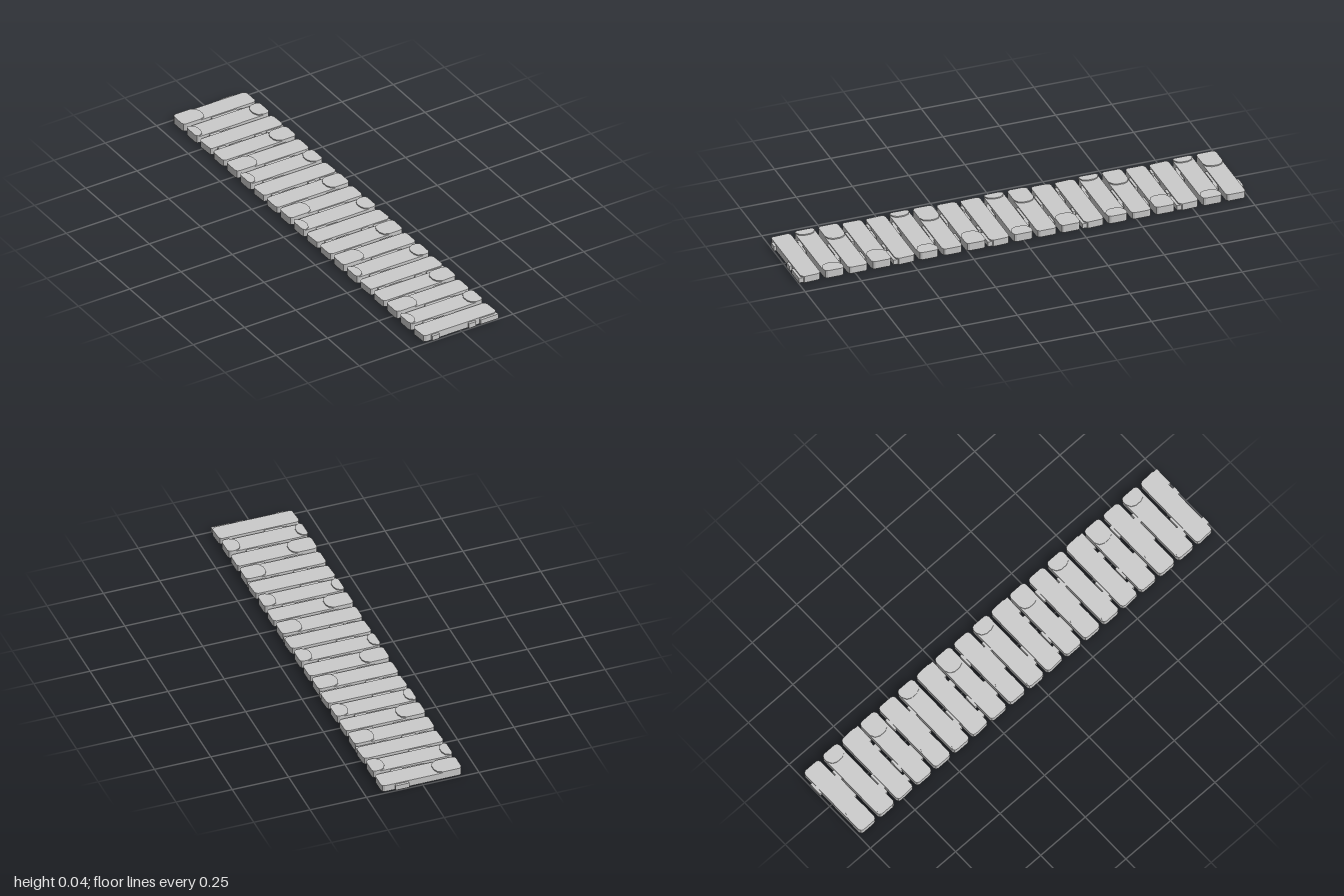
import * as THREE from 'three';

const COUNT = 19, PITCH = 0.105, HALF_W = 0.18, HALF_D = 0.044, HEIGHT = 0.03;

// Four plank designs repeat along the walkway.
// caps: [x0, x1] raised end plates; chips: [x0, x1, side] low blocks on the long edges (+1 front, -1 back)
const DESIGNS = [
  { caps: [], chips: [[-0.143, -0.108, 1], [0.036, 0.07, 1], [0.093, 0.178, 1], [-0.1, -0.02, -1]], flare: 0.003 },
  { caps: [[-0.18, -0.14], [0.115, 0.178]], chips: [[-0.12, -0.07, 1], [0.05, 0.1, -1]], flare: 0 },
  { caps: [[-0.18, -0.065]], chips: [[-0.045, 0.08, 1], [0.06, 0.12, -1]], flare: 0 },
  { caps: [[0.08, 0.178]], chips: [[-0.11, -0.03, 1], [-0.09, -0.03, -1]], flare: 0 },
];

const material = new THREE.MeshStandardMaterial({ color: 0xcccccc, flatShading: true });

// Flat slab with cut corners, lying on y0; z runs towards the front
function slab(x0, x1, halfDepth, y0, height, cutLeft, cutRight, flare = 0) {
  const d = halfDepth, a = cutLeft, b = cutRight;
  const outline = [
    [x0 + a, -d], [x1 - b, -d], [x1 - b * 0.3, -d + b * 0.35], [x1, -d + b],
    [x1 + flare, d - b], [x1 - b * 0.3, d - b * 0.35], [x1 - b, d],
    [x0 + a, d], [x0 + a * 0.3, d - a * 0.35], [x0 + flare, d - a],
    [x0, -d + a], [x0 + a * 0.3, -d + a * 0.35],
  ].map(([x, z]) => new THREE.Vector2(x, -z));
  const geometry = new THREE.ExtrudeGeometry(new THREE.Shape(outline), { depth: height, bevelEnabled: false });
  geometry.rotateX(-Math.PI / 2);
  geometry.translate(0, y0, 0);
  return geometry;
}

function addMesh(parent, geometry, name) {
  const mesh = new THREE.Mesh(geometry, material);
  mesh.name = name;
  parent.add(mesh);
  return mesh;
}

function createPlank(design) {
  const plank = new THREE.Group();
  plank.name = 'plank';
  addMesh(plank, slab(-HALF_W, HALF_W - 0.003, HALF_D, 0, HEIGHT, 0.014, 0.014, design.flare), 'plankBody');

  // Raised plates at the ends, rounded off towards the middle
  for (const [x0, x1] of design.caps) {
    const left = x0 < 0;
    addMesh(plank, slab(x0, x1, HALF_D, HEIGHT, 0.005, left ? 0.014 : 0.03, left ? 0.03 : 0.014), 'endCap');
  }

  // Low blocks standing out of the long edges
  for (const [x0, x1, side] of design.chips) {
    const chip = addMesh(plank, new THREE.BoxGeometry(x1 - x0, 0.022, 0.02), 'edgeChip');
    chip.position.set((x0 + x1) / 2, 0.014, side * (HALF_D + 0.001));
  }
  return plank;
}

export function createModel() {
  const walkway = new THREE.Group();
  walkway.name = 'plankWalkway';
  for (let i = 0; i < COUNT; i++) {
    const plank = createPlank(DESIGNS[i % DESIGNS.length]);
    plank.position.z = ((COUNT - 1) / 2 - i) * PITCH;
    walkway.add(plank);
  }
  return walkway;
}
